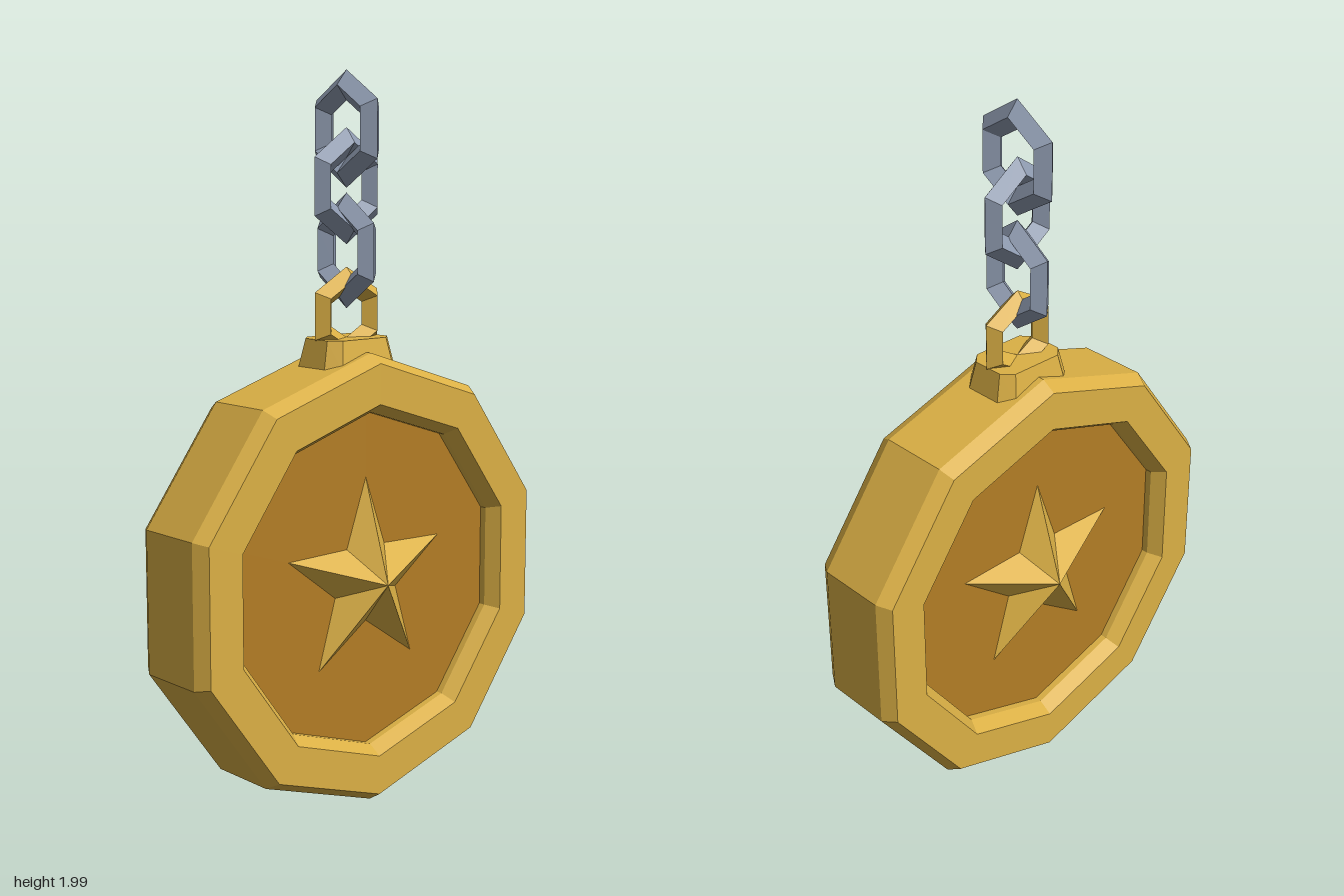
import * as THREE from 'three';

const mat = (name, color) => new THREE.MeshStandardMaterial({ name, color, flatShading: true });

export function createModel() {
  const gold = mat('gold', 0xdbb045);
  const bronze = mat('bronze', 0xb37d25);
  const steel = mat('steel', 0x8f9bb0);

  const model = new THREE.Group();
  model.name = 'medallion';
  const add = (name, geometry, material, y) => {
    const mesh = new THREE.Mesh(geometry, material);
    mesh.name = name;
    mesh.position.y = y;
    model.add(mesh);
    return mesh;
  };
  const centre = 0.63;

  // Ten-sided rim with bevelled outer and inner edges
  const profile = [
    [0.465, -0.08], [0.465, -0.1], [0.49, -0.14], [0.6, -0.14], [0.625, -0.1],
    [0.625, 0.1], [0.6, 0.14], [0.49, 0.14], [0.465, 0.1], [0.465, 0.08],
  ].map(([r, z]) => new THREE.Vector2(r, z));
  add('rim', new THREE.LatheGeometry(profile, 10).rotateX(Math.PI / 2), gold, centre);

  // Recessed disc showing on both faces
  add('disc', new THREE.CylinderGeometry(0.465, 0.465, 0.16, 10).rotateX(Math.PI / 2), bronze, centre);

  // Faceted five-pointed star, one on each face
  const starPoint = (i) => {
    const r = i % 2 ? 0.115 : 0.285;
    const a = Math.PI / 2 + (i * Math.PI) / 5;
    return [r * Math.cos(a), r * Math.sin(a), 0.08];
  };
  const corners = [];
  for (let i = 0; i < 10; i++) corners.push(0, 0, 0.173, ...starPoint(i), ...starPoint(i + 1));
  const star = new THREE.BufferGeometry();
  star.setAttribute('position', new THREE.Float32BufferAttribute(corners, 3));
  star.computeVertexNormals();
  add('frontStar', star, gold, centre);
  add('backStar', star, gold, centre).rotation.y = Math.PI;

  // Tapered mount with cut corners
  const outline = new THREE.Shape([
    [0.125, -0.055], [0.125, 0.055], [0.09, 0.09], [-0.09, 0.09],
    [-0.125, 0.055], [-0.125, -0.055], [-0.09, -0.09], [0.09, -0.09],
  ].map(([x, y]) => new THREE.Vector2(x, y)));
  const mount = new THREE.ExtrudeGeometry(outline, { depth: 0.08, bevelEnabled: false }).rotateX(-Math.PI / 2);
  const p = mount.attributes.position;
  for (let i = 0; i < p.count; i++) {
    if (p.getY(i) > 0.04) p.setXYZ(i, p.getX(i) * 0.85, p.getY(i), p.getZ(i) * 0.83);
  }
  mount.computeVertexNormals();
  add('mount', mount, gold, 1.21);

  // Six-sided rings with a diamond section, pointed at top and bottom
  const ring = (width, height) =>
    new THREE.TorusGeometry(0.095, 0.033, 4, 6).rotateZ(Math.PI / 2).scale(width, height, 1);
  add('hangingRing', ring(1, 1), gold, 1.352);

  // Chain links, alternately turned
  [[1.523, 1, true], [1.695, 1, false], [1.845, 1.12, true]].forEach(([y, width, turned], i) => {
    const link = add(`chainLink${i + 1}`, ring(width, 1.21), steel, y);
    if (turned) link.rotation.y = Math.PI / 2;
  });

  return model;
}
